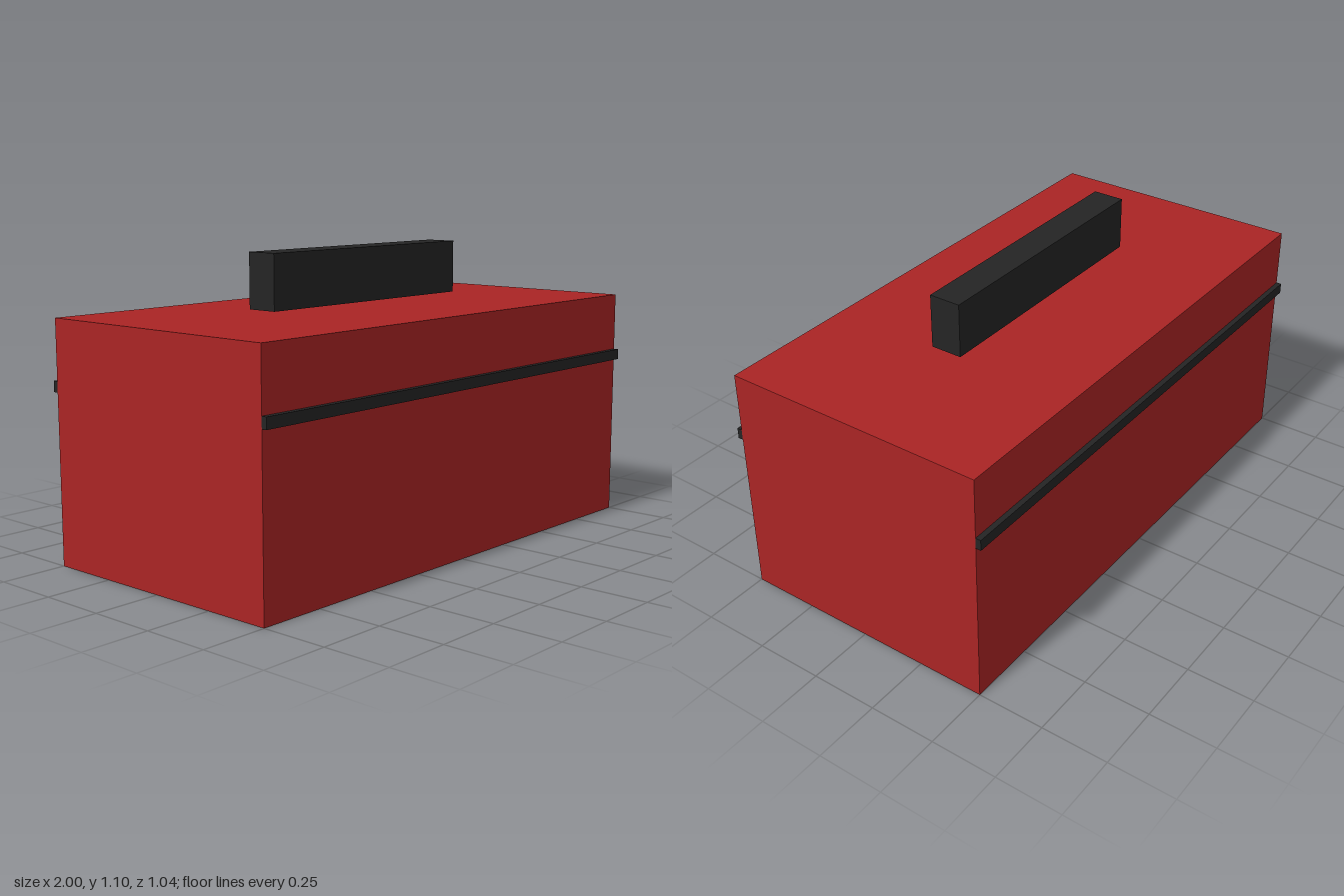
import * as THREE from 'three';

export function createModel() {
  const red = new THREE.MeshStandardMaterial({ color: 0xaa2424 });
  red.name = 'red paint';
  const black = new THREE.MeshStandardMaterial({ color: 0x242424 });
  black.name = 'black trim';

  const group = new THREE.Group();
  group.name = 'toolbox';

  const addBox = (name, material, [w, h, d], [x, y, z]) => {
    const mesh = new THREE.Mesh(new THREE.BoxGeometry(w, h, d), material);
    mesh.name = name;
    mesh.position.set(x, y, z);
    group.add(mesh);
  };

  // Case
  addBox('body', red, [2, 0.88, 1], [0, 0.44, 0]);

  // Lid seam, standing proud of the front and back
  addBox('frontSeam', black, [2, 0.04, 0.02], [0, 0.64, 0.51]);
  addBox('backSeam', black, [2, 0.04, 0.02], [0, 0.64, -0.51]);

  // Grip, held just clear of the lid
  addBox('handle', black, [1, 0.2, 0.12], [0, 1, 0]);

  return group;
}
